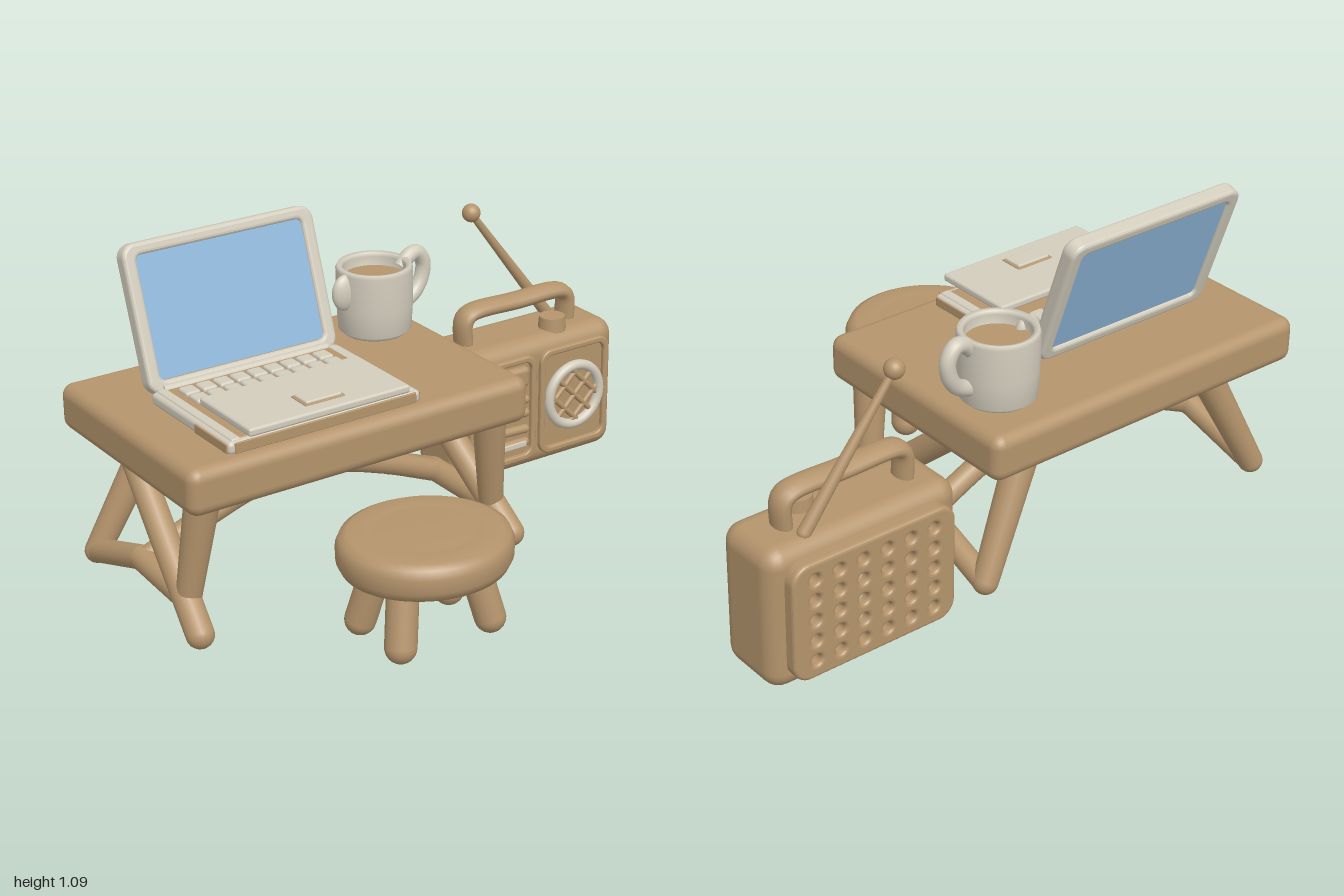
import * as THREE from 'three';
import { RoundedBoxGeometry } from 'three/addons/geometries/RoundedBoxGeometry.js';

const mat = (name, color) => Object.assign(new THREE.MeshStandardMaterial({ color }), { name });
const V = (p) => new THREE.Vector3(...p);

export function createModel() {
  const root = new THREE.Group();
  const wood = mat('wood brown', 0xb4946c);
  const cream = mat('cream', 0xd2ccbc);
  const blue = mat('screen blue', 0x8fb8da);

  const add = (parent, name, geo, m, x = 0, y = 0, z = 0) => {
    const mesh = new THREE.Mesh(geo, m);
    mesh.name = name;
    mesh.position.set(x, y, z);
    parent.add(mesh);
    return mesh;
  };
  const group = (name) => {
    const g = new THREE.Group();
    g.name = name;
    root.add(g);
    return g;
  };
  // Rounded box given by its low and high corners
  const box = (parent, name, m, a, b, r = 0.01) =>
    add(parent, name, new RoundedBoxGeometry(b[0] - a[0], b[1] - a[1], b[2] - a[2], 3, r), m,
      (a[0] + b[0]) / 2, (a[1] + b[1]) / 2, (a[2] + b[2]) / 2);
  // Round-ended straight limb, optionally tapered
  const limb = (parent, name, m, a, b, r0, r1 = r0) => {
    const A = V(a), B = V(b), d = B.clone().sub(A);
    const g = new THREE.Group();
    g.name = name;
    g.position.copy(A);
    g.quaternion.setFromUnitVectors(new THREE.Vector3(0, 1, 0), d.clone().normalize());
    parent.add(g);
    const L = d.length();
    add(g, name + 'Shaft', new THREE.CylinderGeometry(r1, r0, L, 20), m, 0, L / 2, 0);
    add(g, name + 'Start', new THREE.SphereGeometry(r0, 20, 12), m);
    add(g, name + 'End', new THREE.SphereGeometry(r1, 20, 12), m, 0, L, 0);
  };
  const tube = (parent, name, m, pts, r) =>
    add(parent, name, new THREE.TubeGeometry(new THREE.CatmullRomCurve3(pts.map(V)), 40, r, 14), m);
  const roundRect = (w, h, r, P = THREE.Shape) => {
    const s = new P(), x = w / 2, y = h / 2;
    s.moveTo(-x + r, -y).lineTo(x - r, -y).absarc(x - r, -y + r, r, -Math.PI / 2, 0);
    s.absarc(x - r, y - r, r, 0, Math.PI / 2).absarc(-x + r, y - r, r, Math.PI / 2, Math.PI);
    s.absarc(-x + r, -y + r, r, Math.PI, Math.PI * 1.5);
    return s;
  };
  const extrude = (shape, depth, bevel) => new THREE.ExtrudeGeometry(shape, {
    depth: depth - 2 * bevel, bevelSize: bevel, bevelThickness: bevel, bevelOffset: -bevel,
    bevelSegments: 3, curveSegments: 12 });

  // Table: slab, two mirrored leg frames and an arched stretcher
  const table = group('table');
  box(table, 'tableTop', wood, [-1, 0.47, -0.685], [0.24, 0.625, 0.15], 0.04);
  for (const s of [-1, 1]) {
    const p = (d, y, z) => [-0.38 + s * d, y, z];
    limb(table, 'crossLeg', wood, p(0.585, 0.065, 0.1), p(0.53, 0.48, -0.38), 0.045);
    limb(table, 'frontLeg', wood, p(0.53, 0.48, 0.05), p(0.57, 0.14, 0.01), 0.055, 0.04);
    limb(table, 'backLeg', wood, p(0.36, 0.48, -0.52), p(0.57, 0.06, -0.58), 0.055, 0.042);
    limb(table, 'sideBar', wood, p(0.57, 0.14, 0.01), p(0.56, 0.15, -0.3), 0.04);
    limb(table, 'sideBarRear', wood, p(0.56, 0.15, -0.3), p(0.57, 0.06, -0.58), 0.04);
  }
  tube(table, 'stretcher', wood, [[-0.94, 0.15, -0.28], [-0.7, 0.25, -0.27], [-0.52, 0.3, -0.27],
    [-0.24, 0.3, -0.27], [-0.06, 0.25, -0.27], [0.18, 0.15, -0.28]], 0.038);

  // Laptop base, palm rest and keys
  const laptop = group('laptop');
  box(laptop, 'laptopBase', cream, [-0.84, 0.62, -0.37], [-0.15, 0.662, 0.1], 0.015);
  box(laptop, 'baseInset', wood, [-0.8, 0.655, -0.35], [-0.19, 0.665, 0.08], 0.004);
  box(laptop, 'baseFrontTrim', wood, [-0.82, 0.625, 0.096], [-0.17, 0.66, 0.104], 0.003);
  for (const x of [-0.843, -0.155]) box(laptop, 'baseSideTrim', wood, [x, 0.625, -0.1], [x + 0.008, 0.655, 0.09], 0.003);
  box(laptop, 'palmRest', cream, [-0.785, 0.678, -0.165], [-0.21, 0.705, 0.13], 0.009);
  box(laptop, 'trackpadRim', wood, [-0.56, 0.7, -0.003], [-0.417, 0.709, 0.083], 0.004);
  box(laptop, 'trackpad', cream, [-0.553, 0.7, 0.004], [-0.424, 0.716, 0.076], 0.006);
  for (const side of [-0.825, -0.2]) box(laptop, 'baseRail', cream, [side, 0.64, -0.36], [side + 0.035, 0.668, 0.09], 0.008);
  for (let r = 0; r < 2; r++) for (let c = 0; c < 9; c++) {
    const x = -0.77 + c * 0.061, z = -0.325 + r * 0.068;
    box(laptop, 'key', cream, [x, 0.65, z], [x + 0.052, 0.677, z + 0.058], 0.009);
  }

  // Tilted lid: open frame with a panel seen from both sides
  const lid = group('laptopLid');
  lid.position.set(-0.495, 0.64, -0.388);
  lid.rotation.x = -0.325;
  const frame = roundRect(0.69, 0.475, 0.045);
  frame.holes.push(roundRect(0.6, 0.395, 0.02, THREE.Path));
  add(lid, 'lidFrame', extrude(frame, 0.055, 0.012), cream, 0, 0.237, -0.0155);
  add(lid, 'screenTrim', new THREE.BoxGeometry(0.63, 0.42, 0.024), wood, 0, 0.24, 0);
  add(lid, 'screen', new THREE.BoxGeometry(0.604, 0.396, 0.034), blue, 0, 0.24, 0);
  const hinge = add(laptop, 'hinge', new THREE.CylinderGeometry(0.018, 0.018, 0.6, 16), cream, -0.495, 0.655, -0.37);
  hinge.rotation.z = Math.PI / 2;

  // Mug with drink, loop handle and small lug
  const mug = group('mug');
  const profile = [[0, 0], [0.105, 0], [0.122, 0.015], [0.127, 0.1], [0.128, 0.222], [0.122, 0.235],
    [0.108, 0.232], [0.104, 0.22], [0.104, 0.12], [0, 0.12]].map((q) => new THREE.Vector2(...q));
  add(mug, 'mugBody', new THREE.LatheGeometry(profile, 40), cream, 0.063, 0.625, -0.472);
  add(mug, 'drink', new THREE.CylinderGeometry(0.106, 0.106, 0.006, 32), wood, 0.063, 0.812, -0.472);
  tube(mug, 'mugHandle', cream, [[0.17, 0.82, -0.475], [0.205, 0.852, -0.48], [0.24, 0.858, -0.485],
    [0.268, 0.82, -0.487], [0.262, 0.765, -0.487], [0.23, 0.72, -0.483], [0.17, 0.69, -0.475]], 0.026);
  add(mug, 'mugLug', new THREE.SphereGeometry(1, 20, 14), cream, -0.065, 0.79, -0.455).scale.set(0.047, 0.062, 0.026);

  // Stool: rounded oval seat on four splayed legs
  const stool = group('stool');
  stool.position.set(-0.36, 0, 0.418);
  const seat = [[0, 0.25], [0.23, 0.25], [0.262, 0.262], [0.276, 0.29], [0.277, 0.335], [0.265, 0.362],
    [0.24, 0.374], [0.17, 0.376], [0.163, 0.37], [0.156, 0.376], [0, 0.377]].map((q) => new THREE.Vector2(...q));
  add(stool, 'seat', new THREE.LatheGeometry(seat, 48), wood).scale.z = 0.93;
  for (const sx of [-1, 1]) for (const sz of [-1, 1])
    limb(stool, 'stoolLeg', wood, [sx * 0.165, 0.072, sz * 0.108], [sx * 0.125, 0.27, sz * 0.065], 0.05);

  // Radio body, handle, knob and antenna
  const radio = group('radio');
  box(radio, 'radioBody', wood, [0.31, 0.01, -0.605], [1, 0.49, -0.345], 0.06);
  tube(radio, 'carryHandle', wood, [[0.43, 0.46, -0.475], [0.43, 0.57, -0.475], [0.455, 0.592, -0.475],
    [0.65, 0.595, -0.475], [0.84, 0.592, -0.475], [0.865, 0.57, -0.475], [0.865, 0.46, -0.475]], 0.028)
    .geometry.translate(0, 0, 0.475).scale(1, 1, 1.6).translate(0, 0, -0.475);
  add(radio, 'knob', new THREE.CylinderGeometry(0.045, 0.05, 0.05, 24), wood, 0.77, 0.505, -0.42);
  limb(radio, 'antenna', wood, [0.84, 0.49, -0.55], [0.52, 0.915, -0.558], 0.022, 0.012);
  add(radio, 'antennaTip', new THREE.SphereGeometry(0.032, 20, 14), wood, 0.52, 0.917, -0.558);

  // Front face: two raised panel borders, dial bars and round speaker
  for (const [x, w] of [[0.498, 0.285], [0.807, 0.3]]) {
    const border = roundRect(w, 0.39, 0.045);
    border.holes.push(roundRect(w - 0.045, 0.345, 0.03, THREE.Path));
    add(radio, 'panelBorder', extrude(border, 0.025, 0.007), wood, x, 0.25, -0.347);
  }
  box(radio, 'dial', wood, [0.405, 0.335, -0.36], [0.605, 0.41, -0.32], 0.018);
  [0.285, 0.235, 0.18, 0.125].forEach((y, i) =>
    limb(radio, 'dialBar', wood, [0.43, y, -0.338], [0.595, y + (i === 2 ? -0.006 : 0), -0.338], 0.016));
  box(radio, 'barHighlight', cream, [0.48, 0.115, -0.326], [0.59, 0.135, -0.318], 0.003);
  add(radio, 'speakerRing', new THREE.TorusGeometry(0.11, 0.018, 14, 40), cream, 0.81, 0.25, -0.338);
  const grille = new THREE.Group();
  grille.name = 'speakerGrille';
  grille.position.set(0.81, 0.25, -0.338);
  grille.rotation.z = Math.PI / 4;
  radio.add(grille);
  for (const o of [-0.06, 0, 0.06]) {
    const h = Math.sqrt(0.105 ** 2 - o * o);
    limb(grille, 'grilleBar', wood, [-h, o, 0], [h, o, 0], 0.01);
    limb(grille, 'grilleBar', wood, [o, -h, 0], [o, h, 0], 0.01);
  }

  // Back panel with a grid of vent holes, a few with pale plugs
  const back = roundRect(0.59, 0.4, 0.06);
  for (let i = 0; i < 6; i++) for (let j = 0; j < 5; j++) {
    const x = -0.215 + i * 0.086, y = -0.14 + j * 0.07;
    back.holes.push(new THREE.Path().absarc(x, y, 0.018, 0, Math.PI * 2));
    if (i === 3 && j > 0 && j < 4)
      box(radio, 'ventPlug', cream, [0.637 + x, 0.232 + y, -0.612], [0.673 + x, 0.268 + y, -0.604], 0.003);
  }
  add(radio, 'backPanel', extrude(back, 0.055, 0.012), wood, 0.655, 0.25, -0.633);
  return root;
}
